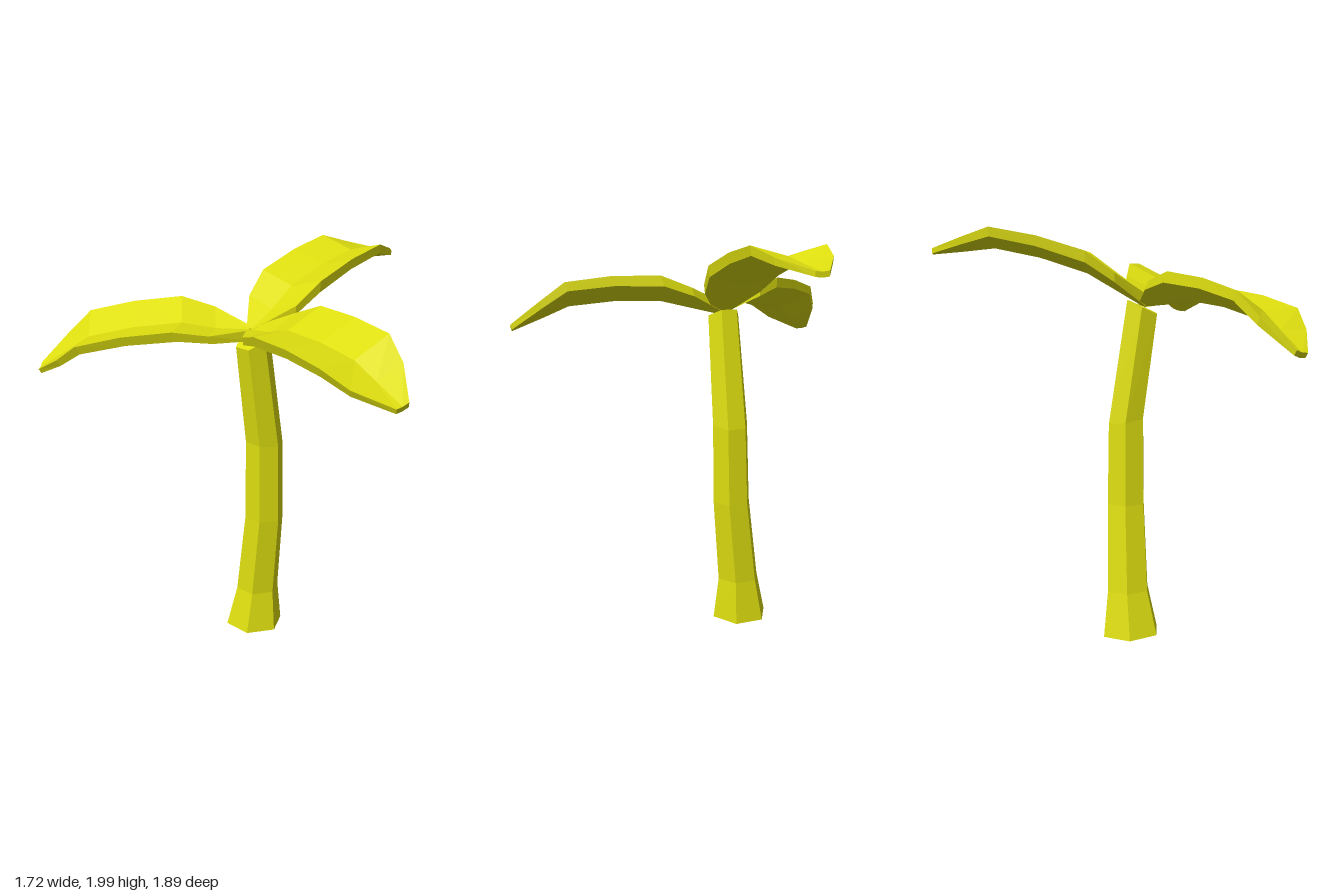
import * as THREE from 'three';

// Skin six-point rings into a closed, faceted solid
function loft(rings) {
  const pos = [];
  const quad = (a, b, c, d) => [a, b, c, a, c, d].forEach(p => pos.push(p.x, p.y, p.z));
  for (let i = 0; i < rings.length - 1; i++) {
    const r = rings[i], s = rings[i + 1];
    for (let j = 0; j < 6; j++) {
      const k = (j + 1) % 6;
      quad(r[j], r[k], s[k], s[j]);
    }
  }
  const first = rings[0], last = rings[rings.length - 1];
  quad(last[0], last[1], last[4], last[5]);
  quad(last[1], last[2], last[3], last[4]);
  quad(first[5], first[4], first[1], first[0]);
  quad(first[4], first[3], first[2], first[1]);
  const geo = new THREE.BufferGeometry();
  geo.setAttribute('position', new THREE.Float32BufferAttribute(pos, 3));
  geo.computeVertexNormals();
  return geo;
}

// Trunk rings: centre x, y, z, radius, slope of the ring along x
const TRUNK = [
  [-0.115, 0.012, -0.2, 0.15, -0.05],
  [-0.1, 0.23, -0.185, 0.112, -0.03],
  [-0.088, 0.66, -0.14, 0.101, 0],
  [-0.088, 1.07, -0.132, 0.096, -0.15],
  [-0.165, 1.625, -0.127, 0.083, 0.45],
];

function trunkGeometry() {
  return loft(TRUNK.map(([x, y, z, r, slope]) =>
    Array.from({ length: 6 }, (_, j) => {
      const a = j * Math.PI / 3, dx = r * Math.sin(a);
      return new THREE.Vector3(x + dx, y + dx * slope, z + r * Math.cos(a));
    })));
}

// Leaf stations: distance along, half width, rim height, dip of the midrib, thickness
const LEAF = [
  [0, 0.03, 0.03, 0.01, 0.06],
  [0.145, 0.155, 0.13, 0.04, 0.045],
  [0.28, 0.19, 0.23, 0.05, 0.055],
  [0.51, 0.19, 0.3, 0.05, 0.05],
  [0.73, 0.19, 0.34, 0.05, 0.045],
  [0.87, 0.145, 0.295, 0.03, 0.035],
  [1.03, 0.035, 0.245, 0.004, 0.025],
];

function leafGeometry() {
  return loft(LEAF.map(([u, w, h, dip, t]) => [
    [h, -w], [h - dip, 0], [h, w],
    [h - t, w * 0.97], [h - dip - t, 0], [h - t, -w * 0.97],
  ].map(([y, z]) => new THREE.Vector3(u, y, z))));
}

export function createModel() {
  const model = new THREE.Group();
  model.name = 'palmTree';
  const yellow = new THREE.MeshStandardMaterial({ color: 0xdede10 });
  yellow.name = 'yellow';

  const trunk = new THREE.Mesh(trunkGeometry(), yellow);
  trunk.name = 'trunk';
  model.add(trunk);

  // Three equal leaves, each turned by its lengthwise and upward directions
  const leaf = leafGeometry();
  [
    ['leftLeaf', [1, 0, 0], [0, 1, 0]],
    ['frontLeaf', [-0.121, -0.278, 0.934], [-0.279, 0.966, 0.288]],
    ['backRightLeaf', [-0.512, -0.382, -0.727], [-0.395, 0.888, -0.174]],
  ].forEach(([name, along, up]) => {
    const u = new THREE.Vector3(...along).normalize();
    const w = u.clone().cross(new THREE.Vector3(...up)).normalize();
    const h = w.clone().cross(u);
    const mesh = new THREE.Mesh(leaf, yellow);
    mesh.name = name;
    mesh.quaternion.setFromRotationMatrix(new THREE.Matrix4().makeBasis(u, h, w));
    mesh.position.set(-0.18, 1.66, -0.12);
    model.add(mesh);
  });
  return model;
}
